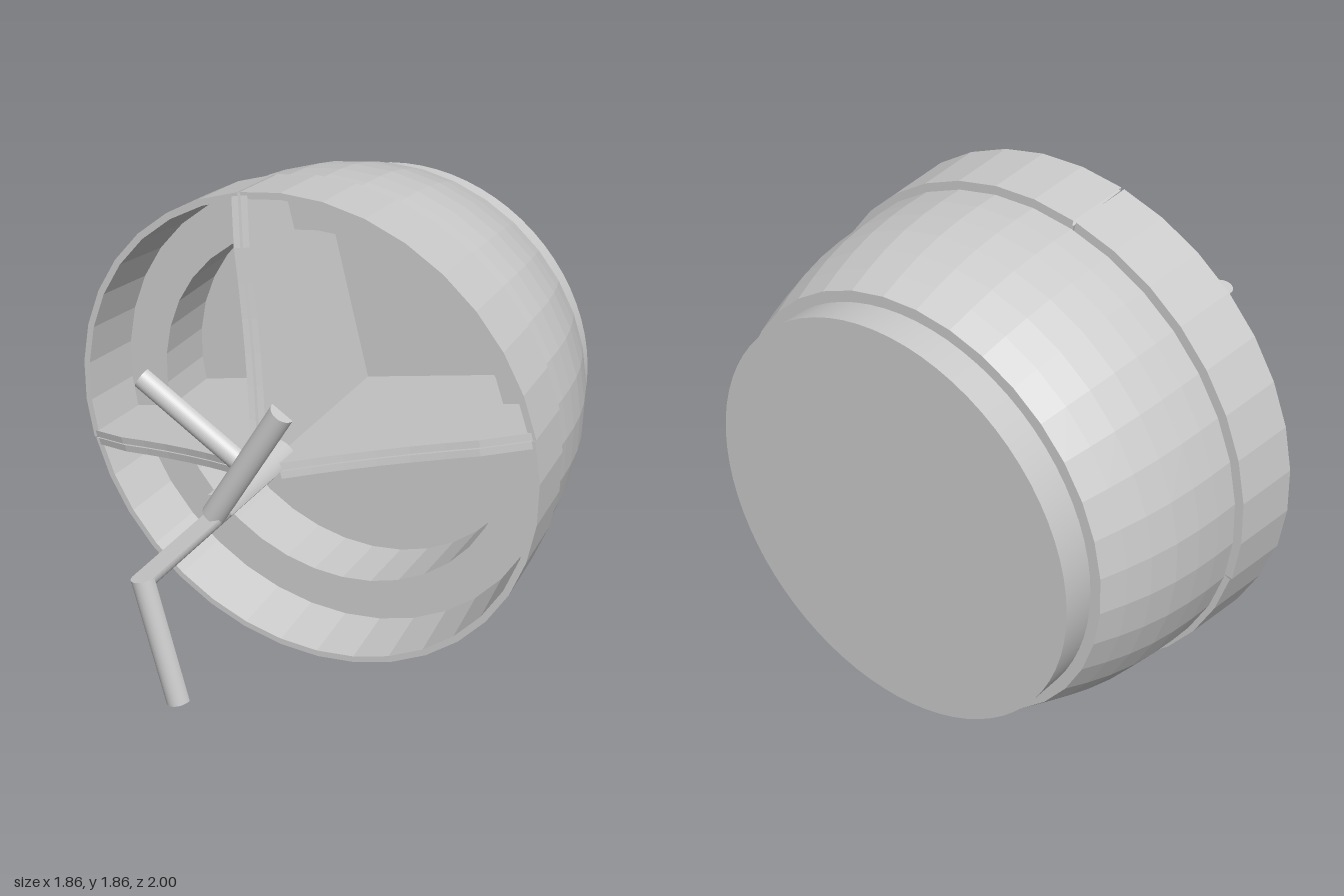
import * as THREE from 'three';

const CY = 0.93;                 // height of the main axis
const STEP = Math.PI / 18;       // one facet of the 36-sided rings
const rad = THREE.MathUtils.degToRad;
const V = (x, y, z) => new THREE.Vector3(x, y, z);
const flat = new THREE.MeshStandardMaterial({ color: 0xcccccc, flatShading: true, side: THREE.DoubleSide });
const smooth = new THREE.MeshStandardMaterial({ color: 0xcccccc });

function add(parent, name, geometry, material = flat) {
  const mesh = new THREE.Mesh(geometry, material);
  mesh.name = name;
  parent.add(mesh);
  return mesh;
}

// Profile of [radius, z] turned about the z axis, from angle a0 to a1
function turned(profile, a0, a1, segments) {
  const pts = profile.map(([r, z]) => new THREE.Vector2(r, z));
  return new THREE.LatheGeometry(pts, segments, a0 + Math.PI / 2, a1 - a0).rotateX(Math.PI / 2);
}

const extrude = (shape, depth, curveSegments = 12) =>
  new THREE.ExtrudeGeometry(shape, { depth, bevelEnabled: false, curveSegments });

// Divider outline in radius and z, with a concave front edge rising to the hub
function dividerShape() {
  const s = new THREE.Shape();
  s.moveTo(0, -0.56);
  s.lineTo(0.72, -0.56);
  s.lineTo(0.72, -0.3);
  s.lineTo(0.885, -0.3);
  s.lineTo(0.917, -0.06);
  s.lineTo(0.75, 0);
  s.quadraticCurveTo(0.38, 0.075, 0.07, 0.2);
  s.lineTo(0, 0.2);
  return s;
}

// Divider plate lying along angle a, its thickness on the side of the compartment
function divider(a, inside) {
  const t = 0.027;
  const g = extrude(dividerShape(), t, 6);
  if (inside > 0) g.translate(0, 0, -t);
  const basis = new THREE.Matrix4().makeBasis(
    V(Math.cos(a), Math.sin(a), 0), V(0, 0, 1), V(Math.sin(a), -Math.cos(a), 0));
  return g.applyMatrix4(basis);
}

// Half-round grip pointing outward along angle a, flat side to the back
function grip(a, length, z) {
  const s = new THREE.Shape();
  s.absarc(0, 0, 0.0425, 0, Math.PI, false);
  const d = V(Math.cos(a), Math.sin(a), 0);
  const basis = new THREE.Matrix4().makeBasis(V(0, 0, 1).cross(d), V(0, 0, 1), d);
  return extrude(s, length).applyMatrix4(basis).translate(0, 0, z);
}

// Arm running forward along z, cross-section a pie of the compartment's angles
function arm(a0, a1, radius, z) {
  const s = new THREE.Shape();
  s.moveTo(0, 0);
  s.absarc(0, 0, radius, a0, a1, false);
  return extrude(s, z - 0.1).translate(0, 0, 0.1);
}

const shellProfile = [
  [0, -0.57], [0.73, -0.57], [0.73, -0.31], [0.91, -0.31], [0.93, -0.06],
  [0.905, -0.06], [0.875, -0.295], [0.71, -0.295], [0.71, -0.55], [0, -0.55],
];

// One wedge compartment: stepped shell, two divider plates, arm and grip
function compartment(name, from, to, shift, armRadius, gripZ, gripLength) {
  const g = new THREE.Group();
  g.name = name;
  const a0 = rad(from), a1 = rad(to), mid = (a0 + a1) / 2;
  add(g, 'shell', turned(shellProfile, a0, a1, Math.round((a1 - a0) / STEP)));
  add(g, 'firstDivider', divider(a0, 1));
  add(g, 'secondDivider', divider(a1, -1));
  add(g, 'arm', arm(a0, a1, armRadius, gripZ + 0.005));
  add(g, 'grip', grip(mid, gripLength, gripZ));
  g.position.set(Math.cos(mid) * shift, Math.sin(mid) * shift, 0);
  return g;
}

export function createModel() {
  const model = new THREE.Group();
  const axis = new THREE.Group();
  axis.name = 'drum';
  axis.position.y = CY;
  model.add(axis);

  // Rounded body with a socket for the compartments
  const body = [
    [0.72, -0.88], [0.77, -0.88], [0.805, -0.79], [0.835, -0.7], [0.86, -0.6],
    [0.876, -0.5], [0.885, -0.41], [0.89, -0.318], [0.74, -0.318], [0.74, -0.58], [0, -0.58],
  ];
  add(axis, 'body', turned(body, rad(5), rad(365), 36));

  // Straight collar and closed back
  add(axis, 'collar', new THREE.CylinderGeometry(0.73, 0.73, 0.14, 72)
    .rotateX(Math.PI / 2).translate(0, 0, -0.93), smooth);

  // Half compartment below, two quarter compartments above
  axis.add(
    compartment('lowerCompartment', 195, 375, 0, 0.0425, 0.96, 0.46),
    compartment('upperLeftCompartment', 15, 105, 0.008, 0.075, 0.535, 0.53),
    compartment('upperRightCompartment', 105, 195, 0.008, 0.075, 0.235, 0.53),
  );
  return model;
}
